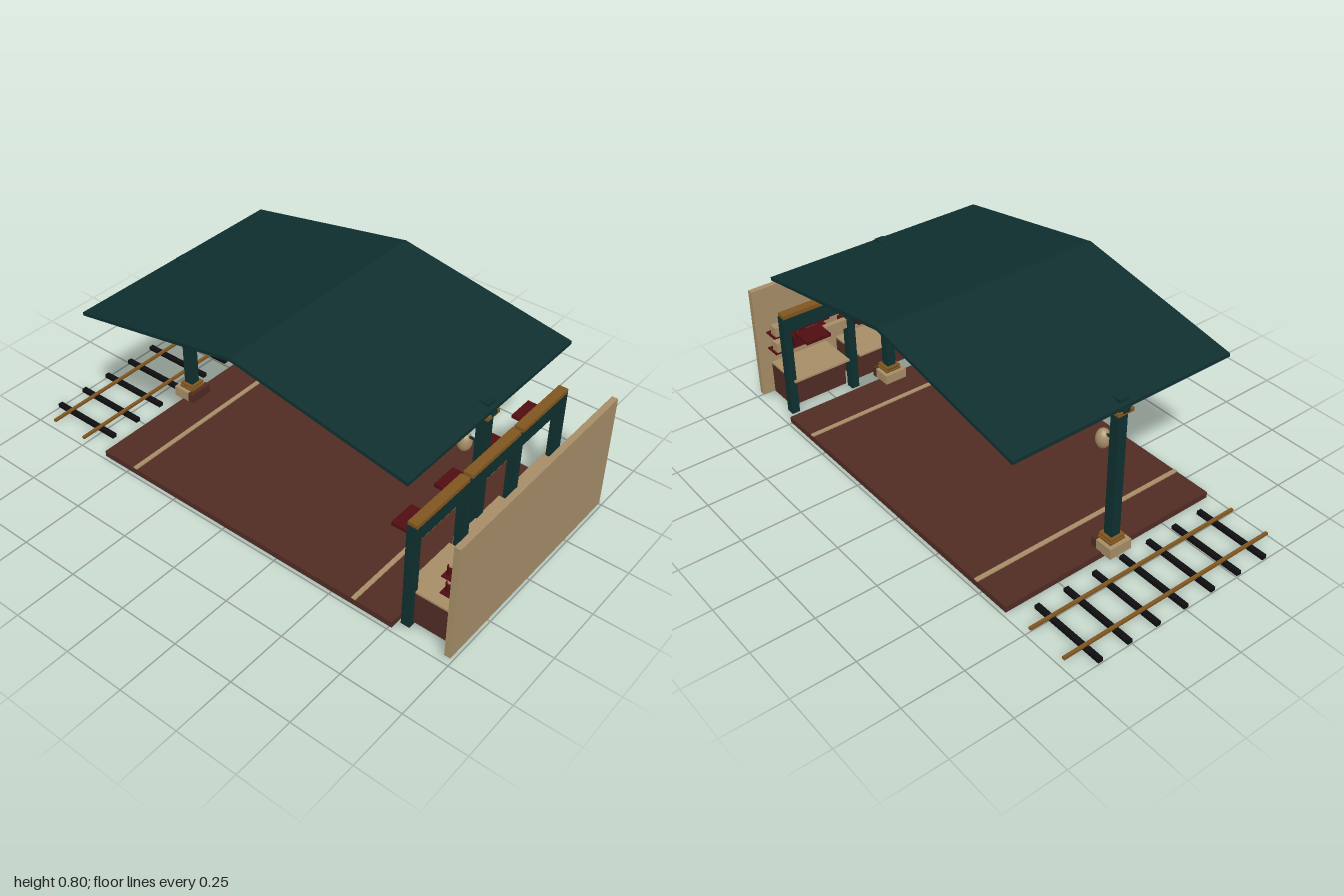
import * as THREE from 'three';

const mat = (name, color) => {
  const m = new THREE.MeshStandardMaterial({ color });
  m.name = name;
  return m;
};

export function createModel() {
  const root = new THREE.Group();
  root.name = 'stationPlatform';
  const green = mat('dark green', 0x0f2f2f);
  const brown = mat('brick brown', 0x502b23);
  const tan = mat('tan', 0xa68d67);
  const gold = mat('bronze', 0x80561f);
  const red = mat('dark red', 0x500d12);
  const black = mat('black', 0x0e0e11);

  const group = (name, parent = root) => {
    const g = new THREE.Group();
    g.name = name;
    parent.add(g);
    return g;
  };
  // box given by its limits on each axis
  const box = (name, m, x0, x1, y0, y1, z0, z1, parent = root) => {
    const mesh = new THREE.Mesh(new THREE.BoxGeometry(x1 - x0, y1 - y0, z1 - z0), m);
    mesh.position.set((x0 + x1) / 2, (y0 + y1) / 2, (z0 + z1) / 2);
    mesh.name = name;
    parent.add(mesh);
    return mesh;
  };
  // sloped slab with vertical ends, extruded along z
  const slab = (name, m, xa, ya, xb, yb, t, depth, parent) => {
    const s = new THREE.Shape([[xa, ya - t], [xb, yb - t], [xb, yb], [xa, ya]]
      .map(([x, y]) => new THREE.Vector2(x, y)));
    const mesh = new THREE.Mesh(new THREE.ExtrudeGeometry(s, { depth, bevelEnabled: false }), m);
    mesh.position.z = -depth / 2;
    mesh.name = name;
    parent.add(mesh);
  };

  // platform floor and edge lines
  box('platform', brown, -0.63, 0.76, 0, 0.025, -0.485, 0.485);
  for (const x of [-0.465, 0.595]) box('edgeLine', tan, x - 0.009, x + 0.009, 0.025, 0.03, -0.485, 0.485);

  // gabled roof with truss
  const roof = group('roof');
  const ridge = 0.065;
  for (const s of [-1, 1]) {
    const inner = [ridge, 0.795], outer = [ridge + s * 0.725, 0.664];
    const [a, b] = s < 0 ? [outer, inner] : [inner, outer];
    slab('roofPanel', green, a[0], a[1], b[0], b[1], 0.014, 0.97, roof);
    slab('rafter', green, a[0], a[1] - 0.018, b[0], b[1] - 0.018, 0.016, 0.03, roof);
  }
  box('tieRod', green, -0.625, 0.755, 0.635, 0.644, -0.005, 0.005, roof);

  // columns with plinths and hanging lanterns
  for (const s of [-1, 1]) {
    const x = ridge + s * 0.69;
    const col = group('column');
    const ring = (name, m, r, rz, y0, y1) => box(name, m, x - r, x + r, y0, y1, -rz, rz, col);
    box('plinth', tan, x - 0.05, x + 0.025, 0.022, 0.066, -0.05, 0.05, col);
    box('plinthSide', brown, x + 0.025, x + 0.05, 0.022, 0.066, -0.05, 0.05, col);
    ring('baseCollar', gold, 0.033, 0.035, 0.066, 0.074);
    ring('baseRing', green, 0.027, 0.028, 0.074, 0.08);
    ring('baseTrim', gold, 0.032, 0.033, 0.08, 0.088);
    ring('shaft', green, 0.02, 0.02, 0.088, 0.678);
    ring('capital', gold, 0.033, 0.035, 0.622, 0.637);
    ring('capitalBlock', green, 0.027, 0.027, 0.637, 0.655);
    const lx = x - s * 0.07;
    box('lanternArm', green, Math.min(x, lx), Math.max(x, lx), 0.488, 0.495, -0.004, 0.004, col);
    const lantern = new THREE.Mesh(new THREE.SphereGeometry(1, 20, 14), tan);
    lantern.scale.set(0.028, 0.04, 0.028);
    lantern.position.set(lx, 0.465, 0);
    lantern.name = 'lantern';
    col.add(lantern);
  }

  // railway track
  const track = group('track');
  for (let i = -3; i <= 3; i++) {
    box('sleeper', black, -1, -0.68, 0.006, 0.022, i * 0.13 - 0.01, i * 0.13 + 0.01, track);
  }
  for (const x of [-0.925, -0.757]) box('rail', gold, x - 0.006, x + 0.006, 0.02, 0.03, -0.485, 0.485, track);

  // back wall of the shops
  box('backWall', tan, 0.973, 0.997, 0.02, 0.51, -0.485, 0.485);

  // three stalls
  const itemMats = [tan, black, red, black, tan, red];
  [-0.31, 0, 0.31].forEach((z, k) => {
    const stall = group('stall');
    box('header', green, 0.782, 0.814, 0.4, 0.465, z - 0.15, z + 0.15, stall);
    box('headerCap', gold, 0.78, 0.818, 0.465, 0.482, z - 0.148, z + 0.148, stall);
    box('counter', brown, 0.815, 0.953, 0.03, 0.165, z - 0.13, z + 0.13, stall);
    box('counterTop', tan, 0.77, 0.955, 0.165, 0.173, z - 0.13, z + 0.13, stall);
    for (const y of [0.235, 0.31]) {
      box('shelf', red, 0.908, 0.973, y - 0.006, y, z - 0.13, z + 0.13, stall);
      for (let i = 0; i < 6; i++) {
        const iz = z + (i - 2.5) * 0.042;
        if (k < 2) {
          box('goods', itemMats[(i + k * 2) % 6], 0.91, 0.948, y, y + 0.042, iz - 0.016, iz + 0.016, stall);
          continue;
        }
        // rows of jars
        for (const jx of [0.927, 0.96]) {
          const jar = new THREE.Mesh(new THREE.CylinderGeometry(0.013, 0.013, 0.034, 12), red);
          jar.position.set(jx, y + 0.017, iz);
          jar.name = 'jar';
          const lid = new THREE.Mesh(new THREE.CylinderGeometry(0.008, 0.008, 0.008, 12), tan);
          lid.position.set(jx, y + 0.038, iz);
          lid.name = 'jarLid';
          stall.add(jar, lid);
        }
      }
    }
  });
  for (const z of [-0.445, -0.155, 0.155, 0.445]) {
    box('stallPost', green, 0.78, 0.816, 0.018, 0.468, z - 0.017, z + 0.017);
  }

  // awning plates with hanging signs between them
  for (let i = 0; i < 4; i++) {
    const z = (i - 1.5) * 0.24;
    box('awning', red, 0.688, 0.782, 0.378, 0.392, z - 0.055, z + 0.055);
    if (i < 3) box('hangingSign', tan, 0.756, 0.778, 0.338, 0.378, z + 0.07, z + 0.17);
  }

  return root;
}
